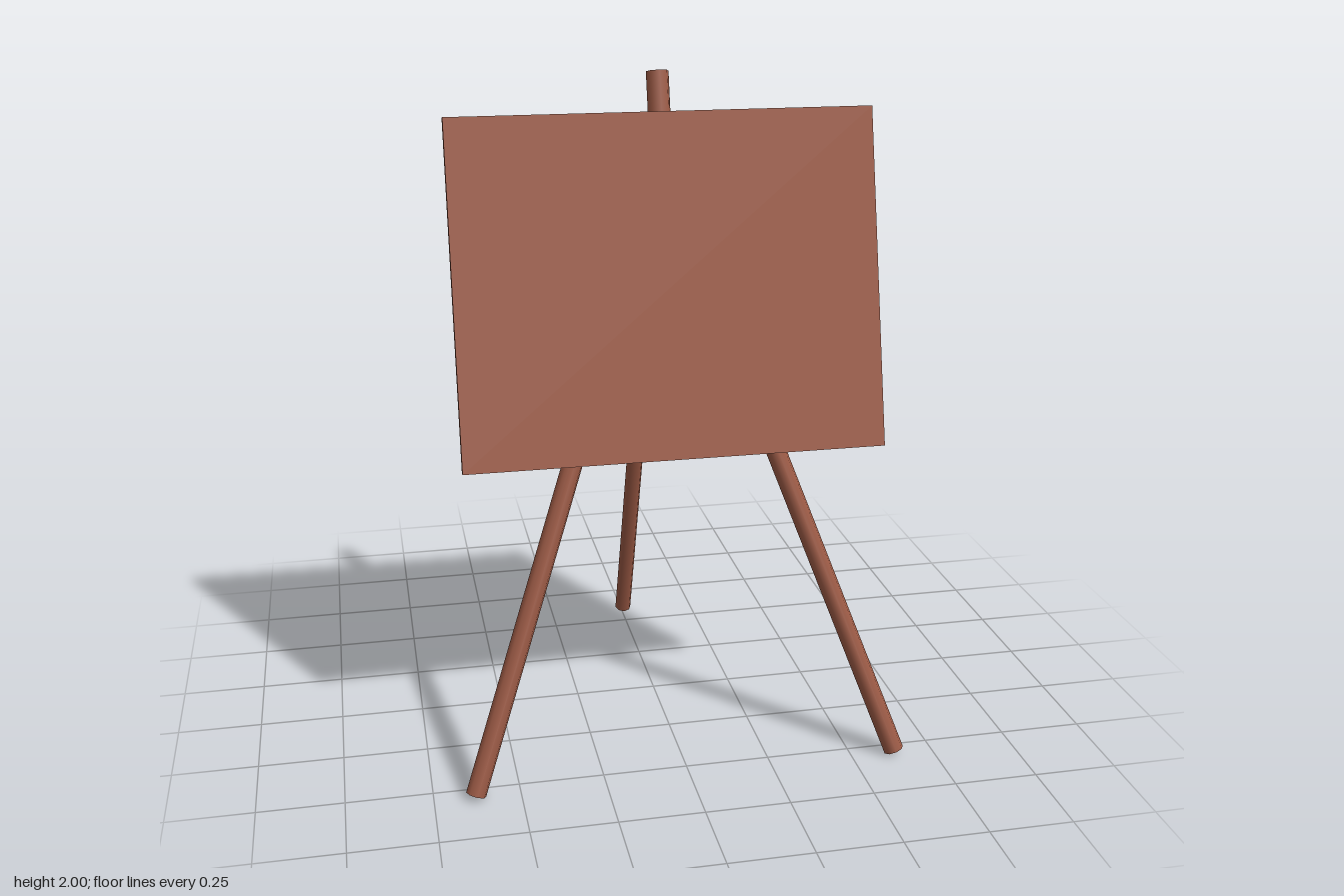
import * as THREE from 'three';

const wood = new THREE.MeshStandardMaterial({ color: 0x9c5a45 });
const UP = new THREE.Vector3(0, 1, 0);

// Eight-sided pole running between two points
function pole(name, from, to, radius) {
  const a = new THREE.Vector3(...from);
  const b = new THREE.Vector3(...to);
  const dir = b.clone().sub(a);
  const mesh = new THREE.Mesh(new THREE.CylinderGeometry(radius, radius, dir.length(), 8), wood);
  mesh.position.copy(a).add(b).multiplyScalar(0.5);
  mesh.quaternion.setFromUnitVectors(UP, dir.normalize());
  mesh.name = name;
  return mesh;
}

export function createModel() {
  const easel = new THREE.Group();
  easel.name = 'easel';

  // Two splayed front legs meeting at the post
  for (const [name, side] of [['leftFrontLeg', 1], ['rightFrontLeg', -1]]) {
    easel.add(pole(name, [side * 0.63, 0.012, 0.55], [0, 1.75, 0.115], 0.03));
  }

  // Rear prop leg
  easel.add(pole('backLeg', [0, 0.028, -0.556], [0, 1.79, 0.098], 0.027));

  // Short post above the joint, leaning with the board
  easel.add(pole('topPost', [0, 1.7, 0.128], [0, 1.992, 0.055], 0.033));

  // Board resting on the front legs
  const board = new THREE.Mesh(new THREE.BoxGeometry(1.24, 0.992, 0.025), wood);
  board.position.set(0, 1.405, 0.243);
  board.rotation.x = -Math.atan(0.25);
  board.name = 'board';
  easel.add(board);

  return easel;
}
